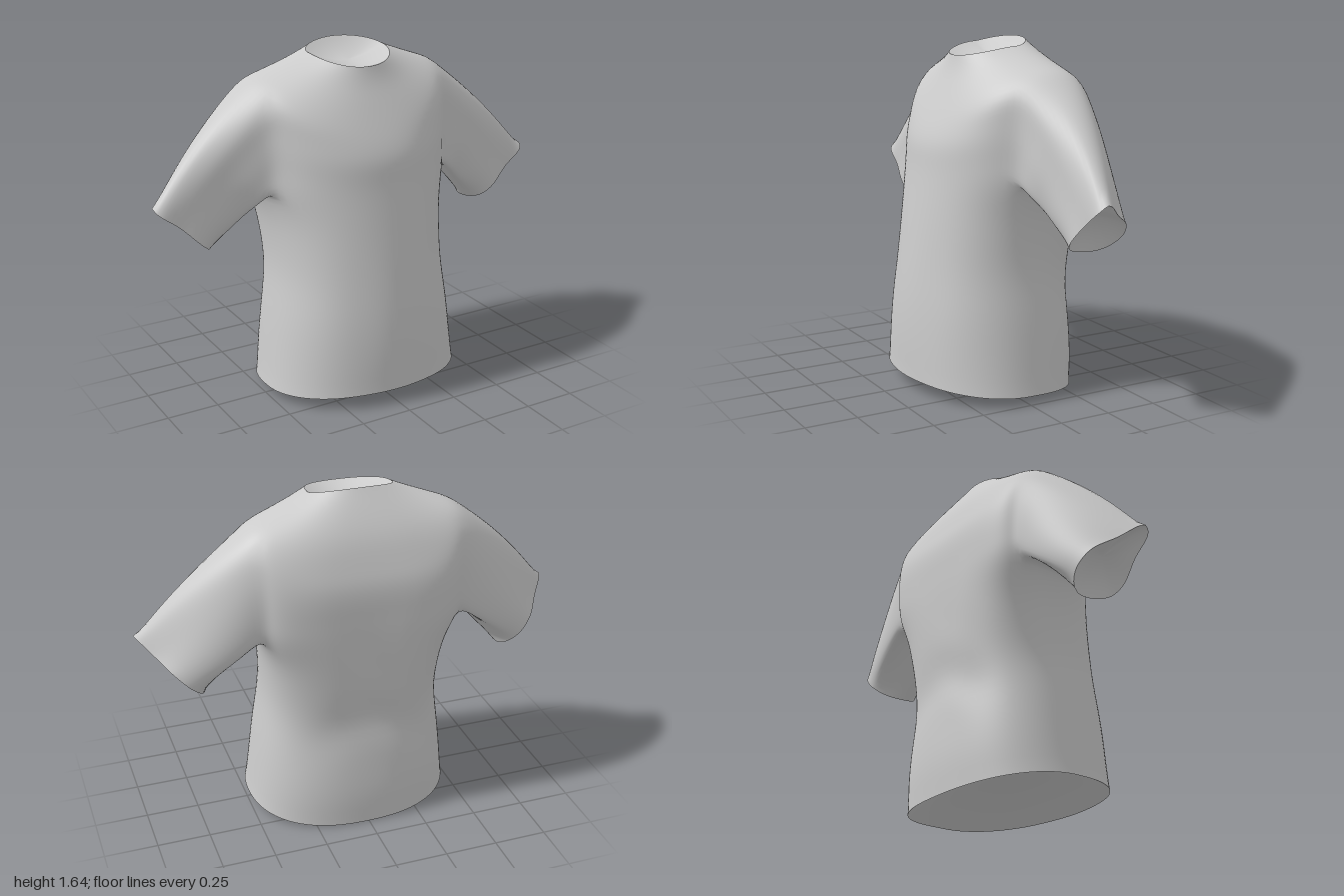
import * as THREE from 'three';

const COLS = 96, SUB = 4, HALF = 7, SLEEVE = 16;

// Body rings, hem to neck: halfWidth, side y, side z, front y, front z, back y, back z, front and back squareness
const KEYS = [
  [0.495, 0.04, 0.00, 0.07, 0.40, 0.00, -0.39, 0.92, 0.84],
  [0.475, 0.20, -0.01, 0.22, 0.40, 0.16, -0.40, 0.92, 0.82],
  [0.450, 0.40, -0.02, 0.40, 0.39, 0.36, -0.385, 0.90, 0.80],
  [0.422, 0.58, -0.03, 0.58, 0.37, 0.54, -0.38, 0.90, 0.78],
  [0.422, 0.74, -0.05, 0.74, 0.35, 0.72, -0.39, 0.90, 0.70],
  [0.440, 0.89, -0.09, 0.89, 0.33, 0.88, -0.40, 0.90, 0.64],
  [0.485, 1.02, -0.14, 1.02, 0.312, 1.01, -0.405, 0.92, 0.57], // underarm
  [0.490, 1.13, -0.15, 1.09, 0.305, 1.10, -0.405, 0.92, 0.53],
  [0.495, 1.25, -0.15, 1.16, 0.297, 1.18, -0.405, 0.92, 0.52],
  [0.500, 1.37, -0.15, 1.23, 0.273, 1.26, -0.397, 0.92, 0.54],
  [0.500, 1.490, -0.14, 1.31, 0.235, 1.34, -0.372, 0.90, 0.60], // shoulder tip
  [0.410, 1.530, -0.13, 1.41, 0.185, 1.45, -0.335, 0.90, 0.68],
  [0.300, 1.568, -0.11, 1.49, 0.145, 1.55, -0.275, 0.95, 0.80],
  [0.198, 1.606, -0.095, 1.56, 0.122, 1.64, -0.210, 0.97, 1.00],
];
const HOLE_LOW = 6 * SUB, HOLE_HIGH = 10 * SUB, ROWS = (KEYS.length - 1) * SUB;

// Sleeve opening: top, down the front, underside, up the back
const CUFF = new THREE.CatmullRomCurve3([
  [1.0, 1.01, -0.05], [0.985, 0.985, -0.02], [0.89, 0.91, -0.01], [0.80, 0.82, 0.0],
  [0.75, 0.775, -0.03], [0.72, 0.75, -0.12], [0.73, 0.755, -0.215], [0.79, 0.81, -0.265],
  [0.86, 0.88, -0.245], [0.93, 0.945, -0.15],
].map(p => new THREE.Vector3(...p)), true, 'centripetal');

// Smooth blend between neighbouring key rings
function ringAt(row) {
  const i = Math.min(Math.floor(row / SUB), KEYS.length - 2), t = row / SUB - i;
  const key = n => KEYS[Math.max(0, Math.min(KEYS.length - 1, n))];
  return key(i).map((b, n) => {
    const a = key(i - 1)[n], c = key(i + 1)[n], d = key(i + 2)[n];
    return b + 0.5 * t * (c - a + t * (2 * a - 5 * b + 4 * c - d + t * (3 * (b - c) + d - a)));
  });
}

const bump = (v, centre, width) => Math.exp(-(((v - centre) / width) ** 2));

// Cloth folds: spine furrow, slack valley at the lower back, soft drape in front
function foldDepth(x, y, back) {
  if (back) {
    return 0.03 * bump(x, -0.02, 0.06) * bump(y, 1.0, 0.3)
      + 0.025 * bump(y + 0.3 * Math.abs(x), 0.58, 0.09) * bump(x, 0, 0.4)
      + 0.008 * Math.sin(24 * (y + 0.6 * Math.abs(x))) * bump(y, 0.55, 0.2) * bump(x, 0, 0.38);
  }
  return 0.008 * Math.cos(15 * x) * bump(y, 0.45, 0.35) * bump(x, 0, 0.35);
}

// Cloth surface, plus the rims of its four openings
function shirtGeometry() {
  const points = [], index = [], rims = [], pinned = new Set();
  const add = (p, pin) => {
    if (pin) pinned.add(points.length);
    return points.push(p) - 1;
  };
  const quad = (a, b, c, d, flip) => flip
    ? index.push(a, c, b, a, d, c) : index.push(a, b, c, a, c, d);
  const at = (row, col) => row * COLS + (col + COLS) % COLS;

  // Body vertices
  for (let r = 0; r <= ROWS; r++) {
    const [hw, ys, zs, yf, zf, yb, zb, ef, eb] = ringAt(r);
    for (let c = 0; c < COLS; c++) {
      const a = 2 * Math.PI * c / COLS, co = Math.cos(a), si = Math.sin(a);
      const back = si < 0, e = back ? eb : ef, s = Math.abs(si);
      const x = hw * Math.sign(co) * Math.abs(co) ** e;
      const y = ys + ((back ? yb : yf) - ys) * s ** 1.4;
      let z = zs + ((back ? zb : zf) - zs) * s ** e;
      z += foldDepth(x, y, back) * s * s;
      add(new THREE.Vector3(x, y, z), r === 0 || r === ROWS);
    }
  }
  rims.push(points.slice(0, COLS), points.slice(-COLS).reverse());

  // Body faces, leaving the two armholes open
  const inHole = (r, c) => {
    const half = (c + COLS / 4) % (COLS / 2) - COLS / 4;
    return r >= HOLE_LOW && r < HOLE_HIGH && half >= -HALF && half < HALF;
  };
  for (let r = 0; r < ROWS; r++) for (let c = 0; c < COLS; c++) {
    if (!inHole(r, c)) quad(at(r, c), at(r + 1, c), at(r + 1, c + 1), at(r, c + 1));
  }

  // Sleeves grow from the armhole edges to the cuffs
  for (const side of [1, -1]) {
    const edge = (r, c) => at(r, side > 0 ? c : COLS / 2 - c);
    const loop = [];
    for (let c = 0; c < HALF; c++) loop.push(edge(HOLE_HIGH, c));
    for (let r = HOLE_HIGH; r > HOLE_LOW; r--) loop.push(edge(r, HALF));
    for (let c = HALF; c > -HALF; c--) loop.push(edge(HOLE_LOW, c));
    for (let r = HOLE_LOW; r < HOLE_HIGH; r++) loop.push(edge(r, -HALF));
    for (let c = -HALF; c < 0; c++) loop.push(edge(HOLE_HIGH, c));
    const n = loop.length, dist = [0];
    loop.forEach((v, i) => dist.push(dist[i] + points[v].distanceTo(points[loop[(i + 1) % n]])));
    const start = loop.map(v => points[v].clone());
    const end = loop.map((v, i) => {
      const p = CUFF.getPointAt(dist[i] / dist[n]);
      p.x *= side;
      return p;
    });
    let previous = loop;
    for (let k = 1; k <= SLEEVE; k++) {
      const t = k / SLEEVE, swell = 4 * t * (1 - t);
      const ring = start.map((p, i) => {
        const q = p.clone().lerp(end[i], t), a = 2 * Math.PI * dist[i] / dist[n];
        const top = Math.max(0, Math.cos(a));
        q.y += 0.022 * swell * top;
        q.x += side * 0.015 * swell * top;
        q.z -= 0.02 * swell * Math.abs(Math.sin(a));
        q.z += 0.012 * Math.sin(14 * t + 2 * a) * bump(t, 0.3, 0.25) * bump(a, 2.2, 0.8);
        return add(q, k === SLEEVE);
      });
      for (let i = 0; i < n; i++) {
        const j = (i + 1) % n;
        quad(previous[i], previous[j], ring[j], ring[i], side < 0);
      }
      previous = ring;
    }
    const rim = previous.map(v => points[v]);
    rims.push(side > 0 ? rim : rim.reverse());
  }

  // Relax the cloth so sleeves and body flow together
  const near = points.map(() => new Set());
  for (let i = 0; i < index.length; i += 3) {
    for (let k = 0; k < 3; k++) {
      const a = index[i + k], b = index[i + (k + 1) % 3];
      near[a].add(b);
      near[b].add(a);
    }
  }
  for (let pass = 0; pass < 7; pass++) {
    const old = points.map(p => p.clone());
    points.forEach((p, i) => {
      if (pinned.has(i) || !near[i].size) return;
      const mean = new THREE.Vector3();
      near[i].forEach(v => mean.add(old[v]));
      p.lerp(mean.divideScalar(near[i].size), 0.5);
    });
  }

  const geometry = new THREE.BufferGeometry().setFromPoints(points);
  geometry.setIndex(index);
  geometry.computeVertexNormals();
  return { geometry, rims };
}

// Hollow dish closing one opening, sunk inwards by the given depth
function dishGeometry(rim, depth) {
  const n = rim.length, rings = 8, points = [], index = [];
  const centre = new THREE.Vector3(), outward = new THREE.Vector3();
  rim.forEach(p => centre.addScaledVector(p, 1 / n));
  rim.forEach((p, i) => outward.add(p.clone().sub(centre).cross(rim[(i + 1) % n].clone().sub(centre))));
  outward.normalize();
  for (let k = 0; k < rings; k++) {
    const r = 1 - k / rings;
    rim.forEach(p => points.push(centre.clone().lerp(p, r).addScaledVector(outward, -depth * (1 - r * r))));
  }
  points.push(centre.clone().addScaledVector(outward, -depth));
  for (let k = 0; k < rings; k++) for (let i = 0; i < n; i++) {
    const a = k * n + i, b = k * n + (i + 1) % n;
    if (k === rings - 1) index.push(a, b, rings * n);
    else index.push(a, b, b + n, a, b + n, a + n);
  }
  const geometry = new THREE.BufferGeometry().setFromPoints(points);
  geometry.setIndex(index);
  geometry.computeVertexNormals();
  return geometry;
}

export function createModel() {
  const group = new THREE.Group();
  group.name = 'tShirt';
  const cloth = new THREE.MeshStandardMaterial({ color: 0xcccccc, side: THREE.DoubleSide });
  const part = (name, geometry) => {
    const mesh = new THREE.Mesh(geometry, cloth);
    mesh.name = name;
    group.add(mesh);
  };
  const { geometry, rims } = shirtGeometry();
  part('bodyAndSleeves', geometry);
  const dishes = [['hemInside', 0.13], ['neckInside', 0.05], ['leftCuffInside', 0.07], ['rightCuffInside', 0.07]];
  dishes.forEach(([name, depth], i) => part(name, dishGeometry(rims[i], depth)));
  return group;
}
